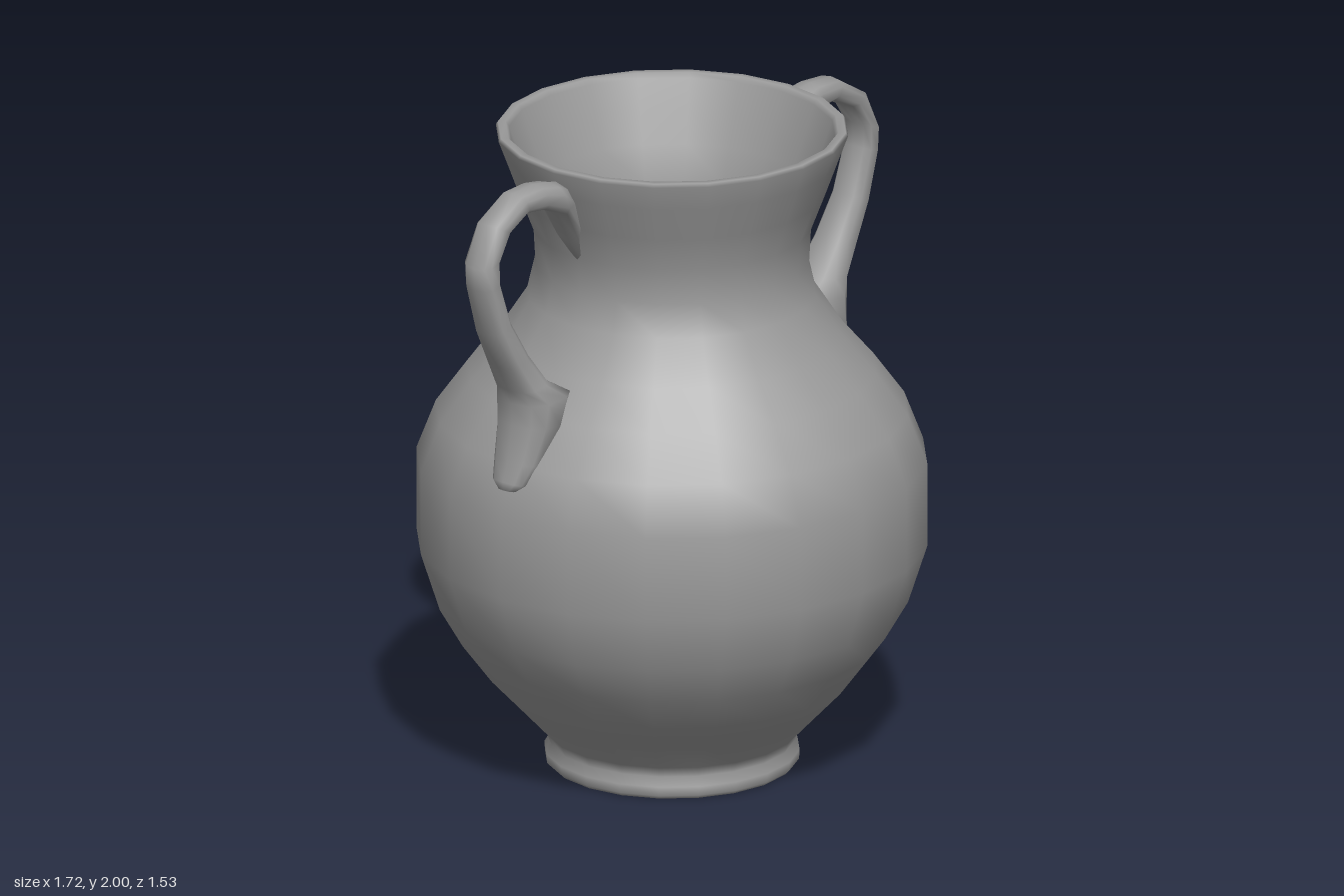
import * as THREE from 'three';

const clay = new THREE.MeshStandardMaterial({ color: 0x9b9b9b, side: THREE.DoubleSide });
const SIDES = 20;

// Lofts rounded cross-sections; each ring is [outerR, outerY, innerR, innerY, halfWidth]
function loft(rings, sides = 10) {
  const pos = [], index = [];
  const soft = (v) => Math.sign(v) * Math.abs(v) ** 0.75;
  for (const [ox, oy, ix, iy, w] of rings) {
    for (let j = 0; j < sides; j++) {
      const t = (j / sides) * Math.PI * 2;
      const c = soft(Math.cos(t)) / 2, s = soft(Math.sin(t));
      pos.push((ox + ix) / 2 + (ox - ix) * c, (oy + iy) / 2 + (oy - iy) * c, w * s);
    }
  }
  for (let i = 0; i < rings.length - 1; i++) {
    for (let j = 0; j < sides; j++) {
      const k = (j + 1) % sides;
      const a = i * sides + j, b = i * sides + k, c = a + sides, d = b + sides;
      index.push(a, b, c, b, d, c);
    }
  }
  const g = new THREE.BufferGeometry();
  g.setAttribute('position', new THREE.Float32BufferAttribute(pos, 3));
  g.setIndex(index);
  g.computeVertexNormals();
  return g;
}

export function createModel() {
  const vase = new THREE.Group();
  vase.name = 'vase';

  // Underside, foot ring, belly, neck, rim and hollow inside in one profile
  const profile = [
    [0, 0], [0.37, 0], [0.382, 0.012], [0.384, 0.04], [0.368, 0.068], [0.38, 0.1],
    [0.46, 0.185], [0.55, 0.28], [0.64, 0.4], [0.71, 0.52], [0.768, 0.7],
    [0.768, 0.96], [0.71, 1.11], [0.615, 1.24], [0.52, 1.35], [0.435, 1.48],
    [0.412, 1.58], [0.418, 1.69], [0.46, 1.8], [0.5, 1.91], [0.53, 1.99],
    [0.523, 2], [0.5, 2], [0.49, 1.985],
    [0.46, 1.9], [0.42, 1.8], [0.383, 1.69], [0.375, 1.58], [0.4, 1.48],
    [0.485, 1.34], [0.58, 1.22], [0.675, 1.09], [0.73, 0.95], [0.73, 0.71],
    [0.67, 0.53], [0.6, 0.41], [0.51, 0.3], [0.4, 0.18], [0.3, 0.12], [0, 0.1],
  ].map(([x, y]) => new THREE.Vector2(x, y));
  const body = new THREE.Mesh(new THREE.LatheGeometry(profile, SIDES), clay);
  body.name = 'body';
  vase.add(body);

  // Strap handle from neck to shoulder, flaring into a pad at both ends
  const handleGeometry = loft([
    [0.46, 1.83, 0.46, 1.83, 0],
    [0.5, 1.945, 0.425, 1.69, 0.03],
    [0.52, 1.962, 0.46, 1.755, 0.064],
    [0.555, 1.97, 0.515, 1.86, 0.066],
    [0.62, 1.98, 0.605, 1.9, 0.058],
    [0.715, 1.974, 0.685, 1.91, 0.055],
    [0.83, 1.905, 0.765, 1.87, 0.056],
    [0.888, 1.78, 0.81, 1.805, 0.057],
    [0.882, 1.71, 0.81, 1.73, 0.057],
    [0.838, 1.56, 0.762, 1.59, 0.06],
    [0.778, 1.44, 0.688, 1.47, 0.068],
    [0.733, 1.355, 0.61, 1.37, 0.08],
    [0.72, 1.31, 0.52, 1.32, 0.104],
    [0.717, 1.24, 0.56, 1.23, 0.1],
    [0.737, 1.13, 0.64, 1.11, 0.08],
    [0.757, 1.07, 0.69, 1.055, 0.06],
    [0.757, 1.045, 0.71, 1.035, 0.03],
    [0.737, 1.04, 0.737, 1.04, 0],
  ]);
  ['leftHandle', 'rightHandle'].forEach((name, i) => {
    const handle = new THREE.Mesh(handleGeometry, clay);
    handle.name = name;
    handle.rotation.y = i * Math.PI;
    vase.add(handle);
  });

  // The whole vase is turned slightly about its axis
  vase.rotation.y = THREE.MathUtils.degToRad(15);
  const model = new THREE.Group();
  model.name = 'twoHandledVase';
  model.add(vase);
  return model;
}
